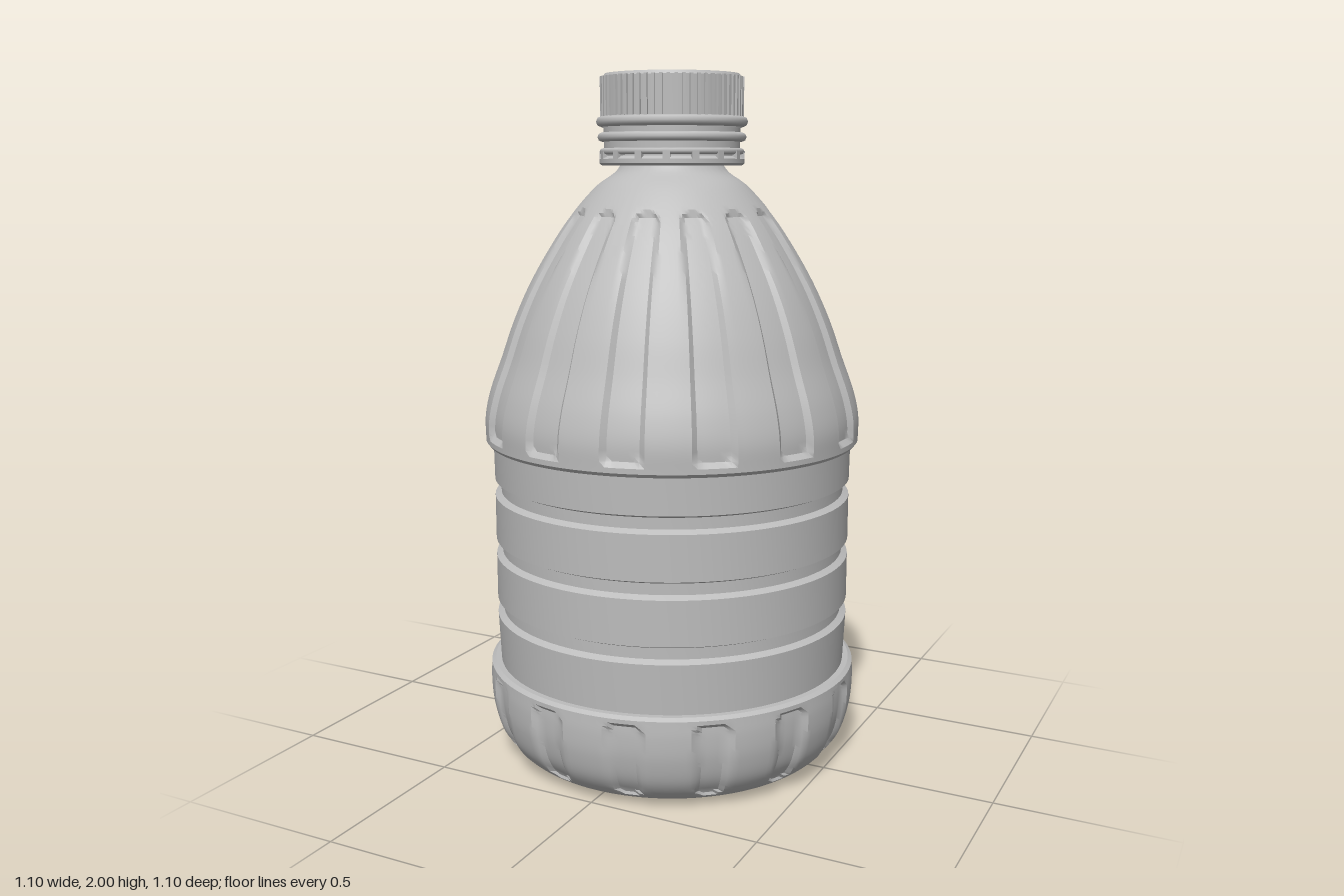
import * as THREE from 'three';
import { mergeGeometries, toCreasedNormals } from 'three/addons/utils/BufferGeometryUtils.js';

const PANELS = 14;
const STEP = (Math.PI * 2) / PANELS;

const lathe = (pts, segs) =>
  new THREE.LatheGeometry(pts.map(([r, y]) => new THREE.Vector2(r, y)), segs);

// Smooth curve through [r, y] points, sampled into n steps
function curve(pts, n) {
  const c = new THREE.CatmullRomCurve3(pts.map(([r, y]) => new THREE.Vector3(r, y, 0)));
  return c.getSpacedPoints(n).map((p) => [Math.max(p.x, 0), p.y]);
}

// Presses a ring of rounded upright panels into a lathed surface
function pressPanels(geo, y0, y1, halfBottom, halfTop, depth) {
  const pos = geo.attributes.position;
  const mid = (y0 + y1) / 2, halfH = (y1 - y0) / 2;
  for (let i = 0; i < pos.count; i++) {
    const x = pos.getX(i), y = pos.getY(i), z = pos.getZ(i);
    const r = Math.hypot(x, z);
    if (r < 0.2) continue;
    const a = Math.atan2(z, x);
    const u = Math.abs(a - Math.round(a / STEP) * STEP) * r;
    const t = THREE.MathUtils.clamp((y - y0) / (y1 - y0), 0, 1);
    const half = THREE.MathUtils.lerp(halfBottom, halfTop, t);
    const corner = 0.035;
    const dx = u - half + corner, dy = Math.abs(y - mid) - halfH + corner;
    const d = Math.hypot(Math.max(dx, 0), Math.max(dy, 0)) + Math.min(Math.max(dx, dy), 0) - corner;
    const k = (r - depth * THREE.MathUtils.smoothstep(-d, 0, 0.014)) / r;
    pos.setXYZ(i, x * k, y, z * k);
  }
  return geo;
}

// Ring of small boxes around the y axis
function boxRing(count, r, y, w, h, d) {
  const parts = [];
  for (let i = 0; i < count; i++) {
    parts.push(new THREE.BoxGeometry(w, h, d).translate(0, y, r).rotateY((i / count) * Math.PI * 2));
  }
  return mergeGeometries(parts);
}

export function createModel() {
  const group = new THREE.Group();
  const grey = new THREE.MeshStandardMaterial({ color: 0xbcbcbc });
  grey.name = 'grey plastic';
  const add = (name, geo, crease = 0.5) => {
    const mesh = new THREE.Mesh(toCreasedNormals(geo, crease), grey);
    mesh.name = name;
    group.add(mesh);
  };

  // Base: hollow underside, rounded foot and paneled wall
  const base = [
    ...curve([[0, 0.13], [0.13, 0.115], [0.26, 0.07], [0.35, 0.015], [0.4, 0.002]], 14),
    ...curve([[0.42, 0.002], [0.475, 0.03], [0.52, 0.085], [0.543, 0.16], [0.549, 0.23], [0.547, 0.282]], 28),
    [0.535, 0.29], [0.518, 0.29],
  ];
  add('base', pressPanels(lathe(base, PANELS * 16), 0.035, 0.272, 0.045, 0.058, 0.014));

  // Waist: four bands parted by three grooves
  const waist = [[0.518, 0.285]];
  for (const y of [0.44, 0.62, 0.8]) {
    waist.push([0.525, y - 0.006], [0.507, y + 0.004], [0.507, y + 0.036], [0.525, y + 0.044]);
  }
  waist.push([0.527, 0.955]);
  add('waist', lathe(waist, 96));

  // Shoulder: dome with long panels
  const shoulder = [
    [0.52, 0.95], [0.54, 0.95],
    ...curve([[0.548, 0.96], [0.548, 1.03], [0.533, 1.1], [0.497, 1.2], [0.462, 1.3], [0.418, 1.4],
      [0.362, 1.5], [0.295, 1.6], [0.215, 1.69], [0.16, 1.73], [0.14, 1.76]], 64),
  ];
  add('shoulder', pressPanels(lathe(shoulder, PANELS * 16), 0.975, 1.625, 0.064, 0.042, 0.015));

  // Neck with flange and collar rings
  add('neck', lathe([
    [0.14, 1.745], [0.2, 1.745], [0.208, 1.752], [0.208, 1.764], [0.195, 1.772], [0.195, 1.86],
  ], 64));
  const rings = [[1.785, 0.198, 0.009], [1.825, 0.2, 0.013], [1.868, 0.202, 0.015]];
  for (const [y, r, tube] of rings) {
    add('collarRing', new THREE.TorusGeometry(r, tube, 8, 64).rotateX(Math.PI / 2).translate(0, y, 0), 1);
  }
  add('collarTabs', boxRing(16, 0.2, 1.775, 0.02, 0.022, 0.016));

  // Screw cap with grip ribs
  add('cap', lathe([[0.198, 1.85], [0.198, 1.99], [0.192, 2], [0, 2]], 64));
  add('capRibs', boxRing(60, 0.199, 1.937, 0.009, 0.11, 0.012));

  return group;
}
